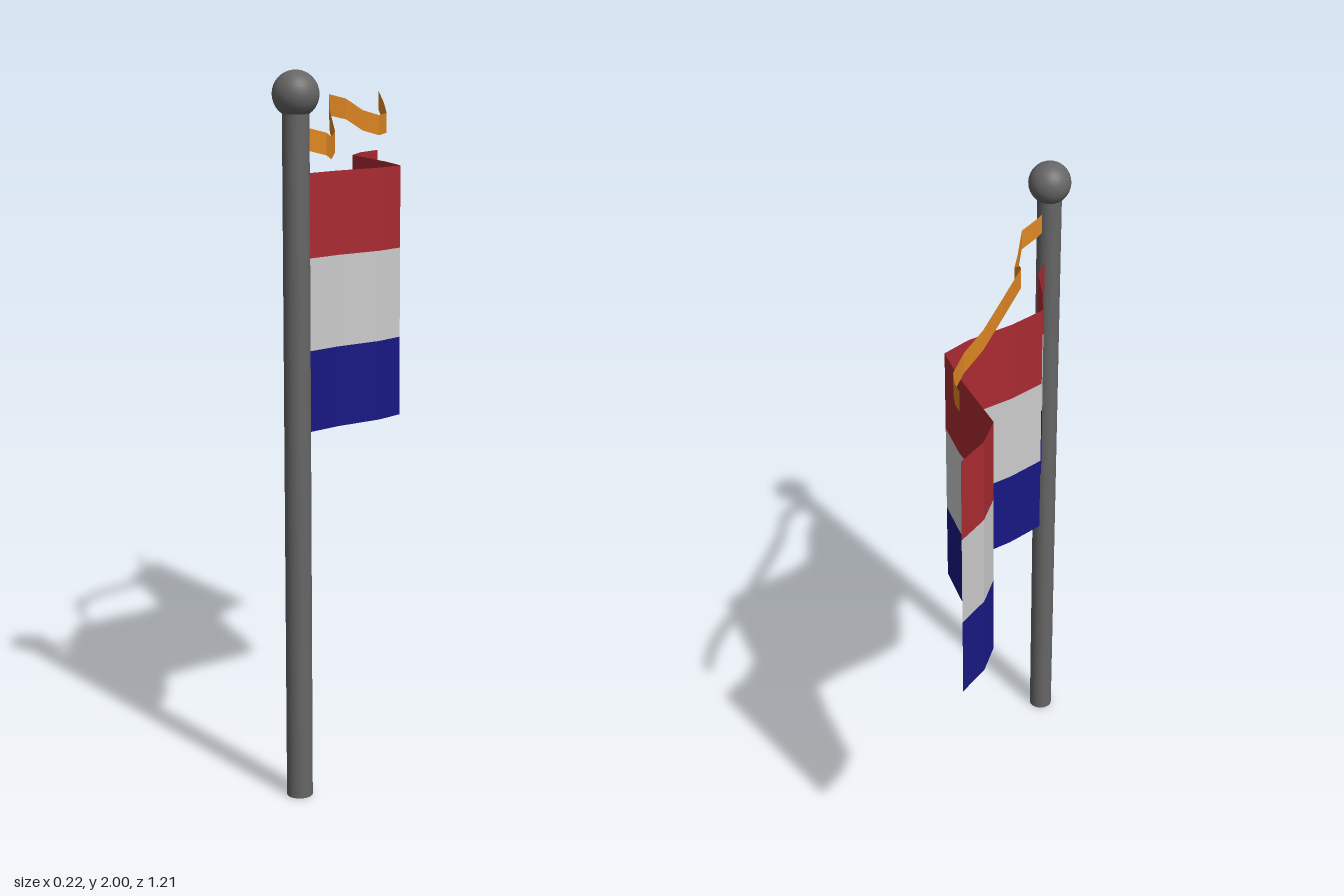
import * as THREE from 'three';

const POLE_X = -0.035, POLE_Z = 0.54;

function material(color, extra = {}) {
  const m = new THREE.MeshStandardMaterial(extra);
  m.color.set(color);
  return m;
}

// Upright strip of cloth: path points are [x, z, bottomY], all of one height
function clothStrip(name, path, height, color) {
  const positions = [], index = [];
  path.forEach(([x, z, y], i) => {
    positions.push(x, y, z, x, y + height, z);
    if (i) {
      const a = 2 * i - 2;
      index.push(a, a + 2, a + 3, a, a + 3, a + 1);
    }
  });
  const geometry = new THREE.BufferGeometry();
  geometry.setAttribute('position', new THREE.Float32BufferAttribute(positions, 3));
  geometry.setIndex(index);
  geometry.computeVertexNormals();
  const mesh = new THREE.Mesh(geometry, material(color, { side: THREE.DoubleSide, flatShading: true }));
  mesh.name = name;
  return mesh;
}

export function createModel() {
  const model = new THREE.Group();
  model.name = 'flagpole';

  // Pole and ball on top
  const metal = material(0x666666);
  const pole = new THREE.Mesh(new THREE.CylinderGeometry(0.036, 0.036, 1.92, 24), metal);
  pole.name = 'pole';
  pole.position.set(POLE_X, 0.96, POLE_Z);
  const ball = new THREE.Mesh(new THREE.SphereGeometry(0.0625, 32, 16), metal);
  ball.name = 'finial';
  ball.position.set(POLE_X, 1.9375, POLE_Z);
  model.add(pole, ball);

  // Waving flag in three horizontal stripes
  const wave = [
    [-0.032, 0.54], [-0.032, 0.42], [-0.07, 0.315], [-0.095, 0.215],
    [-0.03, 0.11], [0.065, -0.005], [0.108, -0.09], [0.04, -0.2],
    [-0.035, -0.3], [-0.11, -0.4], [-0.11, -0.5], [-0.078, -0.605],
  ];
  const flag = new THREE.Group();
  flag.name = 'flag';
  const stripes = [
    ['topStripe', 1.46, 1.70, 0xaa2a32],
    ['middleStripe', 1.195, 1.46, 0xcccccc],
    ['bottomStripe', 0.96, 1.195, 0x181884],
  ];
  for (const [name, low, high, color] of stripes) {
    flag.add(clothStrip(name, wave.map(([x, z]) => [x, z, low]), high - low, color));
  }
  model.add(flag);

  // Narrow pennant streaming above the flag
  const ribbon = [
    [-0.035, 0.54, 1.80], [-0.012, 0.485, 1.785], [0.02, 0.43, 1.77], [0.005, 0.32, 1.75],
    [-0.01, 0.22, 1.76], [-0.045, 0.14, 1.81], [-0.07, 0.05, 1.85],
    [-0.055, -0.09, 1.83], [-0.03, -0.2, 1.79], [-0.003, -0.295, 1.77],
    [-0.003, -0.4, 1.77], [-0.032, -0.49, 1.795], [-0.068, -0.575, 1.826],
  ];
  model.add(clothStrip('pennant', ribbon, 0.06, 0xe08824));

  return model;
}
